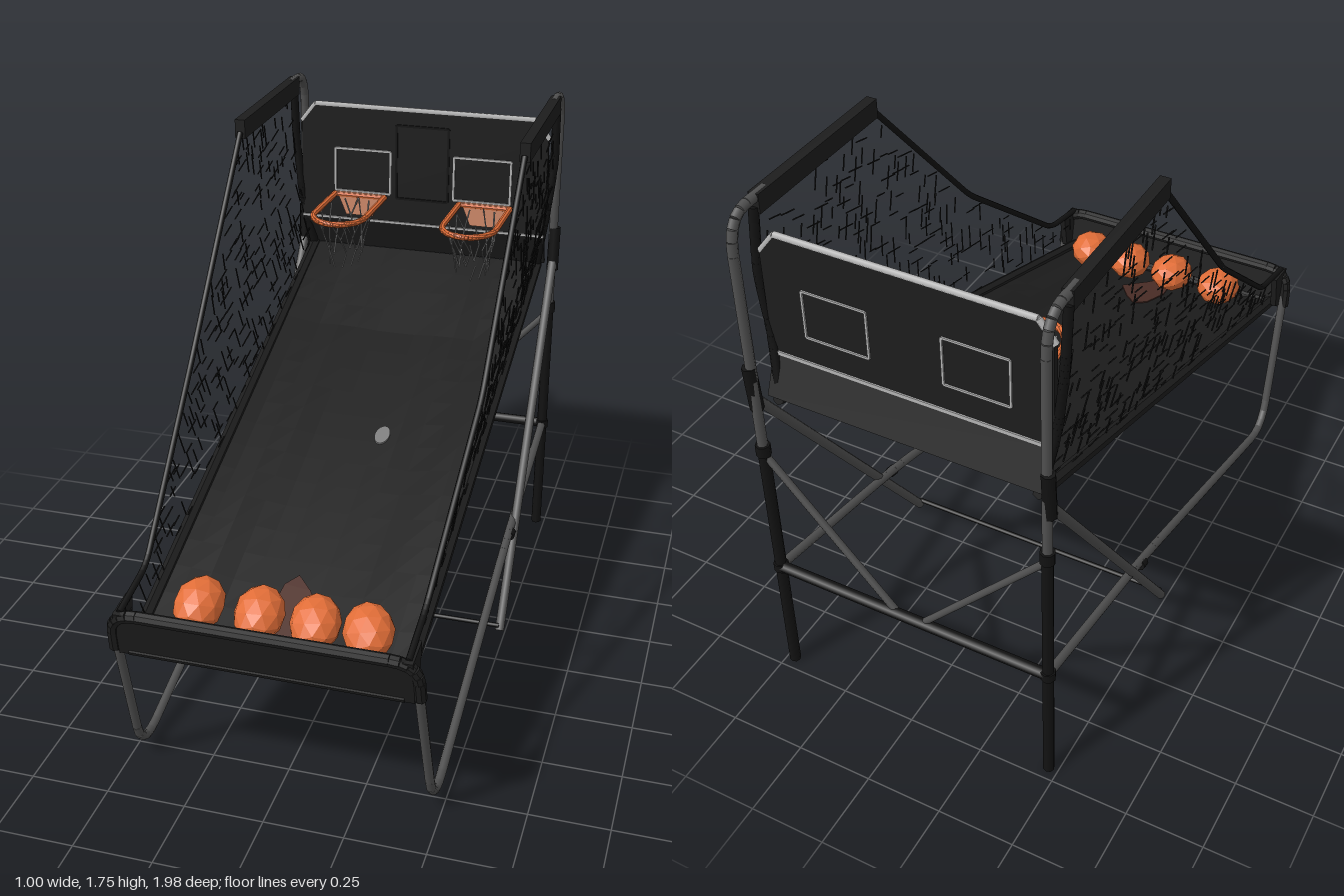
import * as THREE from 'three';
import { mergeGeometries } from 'three/addons/utils/BufferGeometryUtils.js';

const mat = (name, color, extra = {}) => Object.assign(new THREE.MeshStandardMaterial({ color, ...extra }), { name });
const V = (x, y, z) => new THREE.Vector3(x, y, z);
const shapeOf = pts => new THREE.Shape(pts.map(p => new THREE.Vector2(...p)));
const extrude = (shape, depth) => new THREE.ExtrudeGeometry(shape, { depth, bevelEnabled: false });
const box = (w, h, d, x, y, z) => new THREE.BoxGeometry(w, h, d).translate(x, y, z);

// Small seeded generator for the frayed netting
let seed = 7;
const rnd = () => (seed = (seed * 16807) % 2147483647) / 2147483647;

// Straight round bar from a to b
function bar(a, b, r, sides = 8) {
  const d = b.clone().sub(a);
  const g = new THREE.CylinderGeometry(r, r, d.length(), sides);
  g.applyQuaternion(new THREE.Quaternion().setFromUnitVectors(V(0, 1, 0), d.normalize()));
  const m = a.clone().add(b).multiplyScalar(0.5);
  return g.translate(m.x, m.y, m.z);
}

// Bars joined along a path, corners rounded by a bend of the given size
function bentTube(pts, r, bend) {
  const path = [pts[0]];
  for (let i = 1; i < pts.length - 1; i++) {
    const p = pts[i];
    const cut = q => p.clone().add(q.clone().sub(p).setLength(Math.min(bend, q.distanceTo(p) / 2)));
    path.push(...new THREE.QuadraticBezierCurve3(cut(pts[i - 1]), p, cut(pts[i + 1])).getPoints(5));
  }
  path.push(pts[pts.length - 1]);
  return mergeGeometries(path.slice(1).map((p, i) => bar(path[i], p, r)));
}

// Thin rectangular outline facing z
const frame = (w, h, t, x, y, z) => mergeGeometries([
  box(w, t, 0.005, x, y - h / 2, z), box(w, t, 0.005, x, y + h / 2, z),
  box(t, h, 0.005, x - w / 2, y, z), box(t, h, 0.005, x + w / 2, y, z)]);

const deckY = z => 0.505 + (0.94 - z) * 0.322;
const deckX = z => 0.415 - z * 0.008;
// Fabric height: sags across the middle, flat at the back edge, creased near the sides
function fabricY(x, z) {
  const u = x / deckX(z), slack = Math.min(1, (z + 0.92) / 0.4) * (1 - u * u);
  return deckY(z) - slack * (0.024 - 0.03 * u * u * Math.sin(u * 9 + z * 3));
}

// Outline of the side net, as [z, y]
const netEdge = [[0.97, 0.64], [0.77, 0.68], [0.25, 1.11], [-0.27, 1.7], [-0.85, 1.7], [-0.87, 1.5], [-0.87, 1.3], [-0.91, 1.1]];
const netX = (z, y) => deckX(z) + 0.052 * Math.min(1, Math.max(0, (y - deckY(z)) / 0.35));

function insideNet(z, y) {
  const poly = [...netEdge, [0.95, 0.5]];
  let inside = false;
  poly.forEach(([z1, y1], i) => {
    const [z2, y2] = poly[(i + 1) % poly.length];
    if ((y1 > y) !== (y2 > y) && z < z1 + ((y - y1) / (y2 - y1)) * (z2 - z1)) inside = !inside;
  });
  return inside;
}

export function createModel() {
  seed = 7;
  const model = new THREE.Group();
  const black = mat('black fabric', 0x1d1d1d, { flatShading: true, side: THREE.DoubleSide });
  const dark = mat('black netting', 0x121212);
  const steel = mat('grey steel', 0x505050);
  const orange = mat('orange', 0xe26e38, { flatShading: true });
  const salmon = mat('pale orange bracket', 0xd08a6a);
  const light = mat('light grey lines', 0xb4b4b4);
  const grey = mat('net grey', 0x7c7c7c);
  const brown = mat('brown patch', 0x4e3029);
  const add = (name, geo, material) => {
    const m = new THREE.Mesh(geo, material);
    m.name = name;
    model.add(m);
    return m;
  };

  for (const s of [1, -1]) {
    const side = s > 0 ? 'left' : 'right';
    const P = (x, y, z) => V(s * x, y, z);

    // Steel frame
    add(side + 'RearPost', bentTube([P(0.47, 0.92, -0.962), P(0.47, 1.73, -0.962), P(0.47, 1.73, -0.8)], 0.016, 0.12), steel);
    add(side + 'RearLeg', bar(P(0.47, 0, -0.962), P(0.47, 0.93, -0.962), 0.018), dark);
    add(side + 'SideTube', bentTube([P(0.455, 0.54, 0.95), P(0.47, 0.01, 0.8), P(0.47, 0.31, -0.3), P(0.47, 0.435, -0.96)], 0.015, 0.12), steel);
    add(side + 'DiagonalLeg', bar(P(0.482, 0.005, -0.16), P(0.475, 1.1, -0.95), 0.016), steel);
    add(side + 'RearBrace', bar(P(0.47, 0.9, -0.96), P(0.05, 0.44, -0.96), 0.012), steel);
    add(side + 'Collars', mergeGeometries([
      bar(P(0.47, 0.9, -0.962), P(0.47, 0.94, -0.962), 0.023),
      bar(P(0.47, 0.42, -0.962), P(0.47, 0.45, -0.962), 0.023),
      bar(P(0.475, 1.07, -0.955), P(0.475, 1.23, -0.965), 0.021),
      bar(P(0.475, 0.303, -0.31), P(0.475, 0.31, -0.34), 0.018)]), dark);

    // Padded sleeve over the top arm
    add(side + 'ArmSleeve', box(0.034, 0.062, 0.58, s * 0.47, 1.712, -0.56), black);

    // Net binding and lower deck hem
    const edge = netEdge.map(([z, y]) => P(netX(z, y), y, z));
    const rim = (from, to, r) => bentTube(edge.slice(from, to), r, 0.05);
    add(side + 'NetBinding', mergeGeometries([rim(0, 4, 0.01), rim(4, 8, 0.015)]), dark);
    add(side + 'DeckHem', bar(P(deckX(0.94), 0.505, 0.94), P(deckX(-0.92), 1.1, -0.92), 0.02, 6), black);

    // Side net of short crossed strands, mostly frayed away
    const strands = [];
    for (let i = -22; i < 24; i++) for (let j = -4; j < 32; j++) {
      const z = i * 0.048 - j * 0.006 + (rnd() - 0.5) * 0.02;
      const y = 0.5 + j * 0.044 - i * 0.008 + (rnd() - 0.5) * 0.016;
      for (const [dz, dy] of [[0.034, -0.008], [0.008, 0.034]]) {
        const k = 0.5 + rnd() * 0.7, drop = rnd() > 0.34;
        const a = [z - dz * k, y - dy * k], b = [z + dz * k, y + dy * k];
        if (drop || !insideNet(...a) || !insideNet(...b)) continue;
        strands.push(bar(P(netX(...a), a[1], a[0]), P(netX(...b), b[1], b[0]), 0.0026, 4));
      }
    }
    add(side + 'SideNet', mergeGeometries(strands), dark);

    // Corner panel beside the balls
    const corner = shapeOf([[0.98, 0.64], [0.88, 0.65], [0.9, 0.52], [0.945, 0.495]]);
    add(side + 'CornerPanel', extrude(corner, 0.02).rotateY(-Math.PI / 2).translate(s * 0.435 + 0.01, 0, 0), black);

    // Hoop: straight arms and a round front
    const hx = 0.232, ring = [];
    for (let i = 0; i <= 12; i++) {
      const a = (i / 12) * Math.PI;
      ring.push(V(s * hx + Math.cos(a) * 0.093, 1.328, -0.605 + Math.sin(a) * 0.1));
    }
    const arms = [V(ring[0].x, 1.318, -0.86), ...ring, V(ring[12].x, 1.318, -0.86)];
    add(side + 'Hoop', mergeGeometries([bentTube(arms, 0.011, 0.01), bar(arms[0], arms[14], 0.01)]), orange);
    const plate = shapeOf([[-0.085, 1.33], [0.085, 1.33], [0.05, 1.245], [-0.05, 1.245]]);
    add(side + 'HoopBracket', extrude(plate, 0.008).translate(s * hx, 0, -0.862), salmon);

    // Hoop net of tapering diamonds
    const knot = (lvl, i) => {
      const a = (i / 12) * Math.PI * 2, k = [1, 0.82, 0.68, 0.6][lvl];
      return V(s * hx + Math.cos(a) * 0.09 * k, 1.315 - lvl * 0.058, -0.68 + Math.sin(a) * 0.165 * k);
    };
    const cords = [];
    for (let l = 0; l < 3; l++) for (let i = 0; i < 12; i++) for (const d of [-0.5, 0.5]) {
      if (rnd() < 0.55) cords.push(bar(knot(l, i + l / 2), knot(l + 1, i + l / 2 + d), 0.003, 4));
    }
    add(side + 'HoopNet', mergeGeometries(cords), grey);

    // Target outline, on both faces of the board
    add(side + 'TargetLines', mergeGeometries([-0.8605, -0.8835].map(z => frame(0.206, 0.158, 0.007, s * 0.22, 1.412, z))), light);
  }

  // Cross bars
  add('rearCrossBar', bar(V(-0.47, 0.435, -0.965), V(0.47, 0.435, -0.965), 0.018), dark);
  add('footCrossBar', bar(V(-0.48, 0.025, -0.16), V(0.48, 0.025, -0.16), 0.008), dark);

  // Sloping fabric deck
  const deck = new THREE.PlaneGeometry(2, 1, 12, 18).rotateX(-Math.PI / 2);
  const p = deck.attributes.position;
  for (let i = 0; i < p.count; i++) {
    const z = 0.01 + p.getZ(i) * 1.86, x = p.getX(i) * deckX(z);
    p.setXYZ(i, x, fabricY(x, z), z);
  }
  deck.computeVertexNormals();
  add('deck', deck, black);

  // Patch and spot let into the deck, showing above and below
  const inDeck = (name, shape, x, z, material) => {
    const g = extrude(shape, 0.0095).rotateX(-Math.PI / 2).translate(x, -0.0048, z);
    const q = g.attributes.position;
    for (let i = 0; i < q.count; i++) q.setY(i, q.getY(i) + fabricY(q.getX(i), q.getZ(i)));
    g.computeVertexNormals();
    add(name, g, material);
  };
  inDeck('deckPatch', shapeOf([[-0.03, -0.22], [-0.06, -0.05], [-0.045, 0.07], [-0.01, 0.11], [0.04, 0.06], [0.095, -0.02], [0.04, -0.12], [0, -0.22]]), 0, 0.69, brown);
  inDeck('deckSpot', new THREE.Shape().absellipse(0, 0, 0.025, 0.038, 0, Math.PI * 2), 0.085, -0.02, grey);

  // Front lip
  add('frontLip', box(0.89, 0.155, 0.014, 0, 0, 0).rotateX(0.2).translate(0, 0.565, 0.962), black);
  add('lipRoll', bentTube([V(-0.46, 0.5, 0.945), V(-0.455, 0.633, 0.971), V(0.455, 0.633, 0.971), V(0.46, 0.5, 0.945)], 0.019, 0.08), black);
  add('lipHem', bar(V(-0.415, 0.497, 0.943), V(0.415, 0.497, 0.943), 0.016), black);

  // Backboard with clipped corners, and skirt below it
  const outline = [[-0.45, 1.23], [0.45, 1.23], [0.45, 1.58], [0.4, 1.645], [-0.4, 1.645], [-0.45, 1.58]];
  add('backboard', extrude(shapeOf(outline), 0.018).translate(0, 0, -0.881), black);
  add('boardSkirt', box(0.9, 0.135, 0.014, 0, 0, 0).rotateX(0.4).translate(0, 1.17, -0.898), black);
  add('boardTrim', mergeGeometries([
    ...[[2, 3], [3, 4], [4, 5]].map(([a, b]) => bar(V(...outline[a], -0.872), V(...outline[b], -0.872), 0.011, 6)),
    box(0.9, 0.009, 0.006, 0, 1.226, -0.861), box(0.86, 0.014, 0.006, 0, 1.24, -0.883)]), light);
  add('scoreOutline', frame(0.19, 0.27, 0.008, 0, 1.455, -0.861), dark);

  // Balls resting against the lip
  [-0.245, -0.058, 0.113, 0.272].forEach((x, i) => {
    const ball = add('ball' + (i + 1), new THREE.IcosahedronGeometry(1, 1), orange);
    ball.scale.set(0.077, 0.066, 0.096);
    ball.rotation.set(0.3, i * 0.1, 0);
    ball.position.set(x, 0.604, 0.812);
  });

  return model;
}
